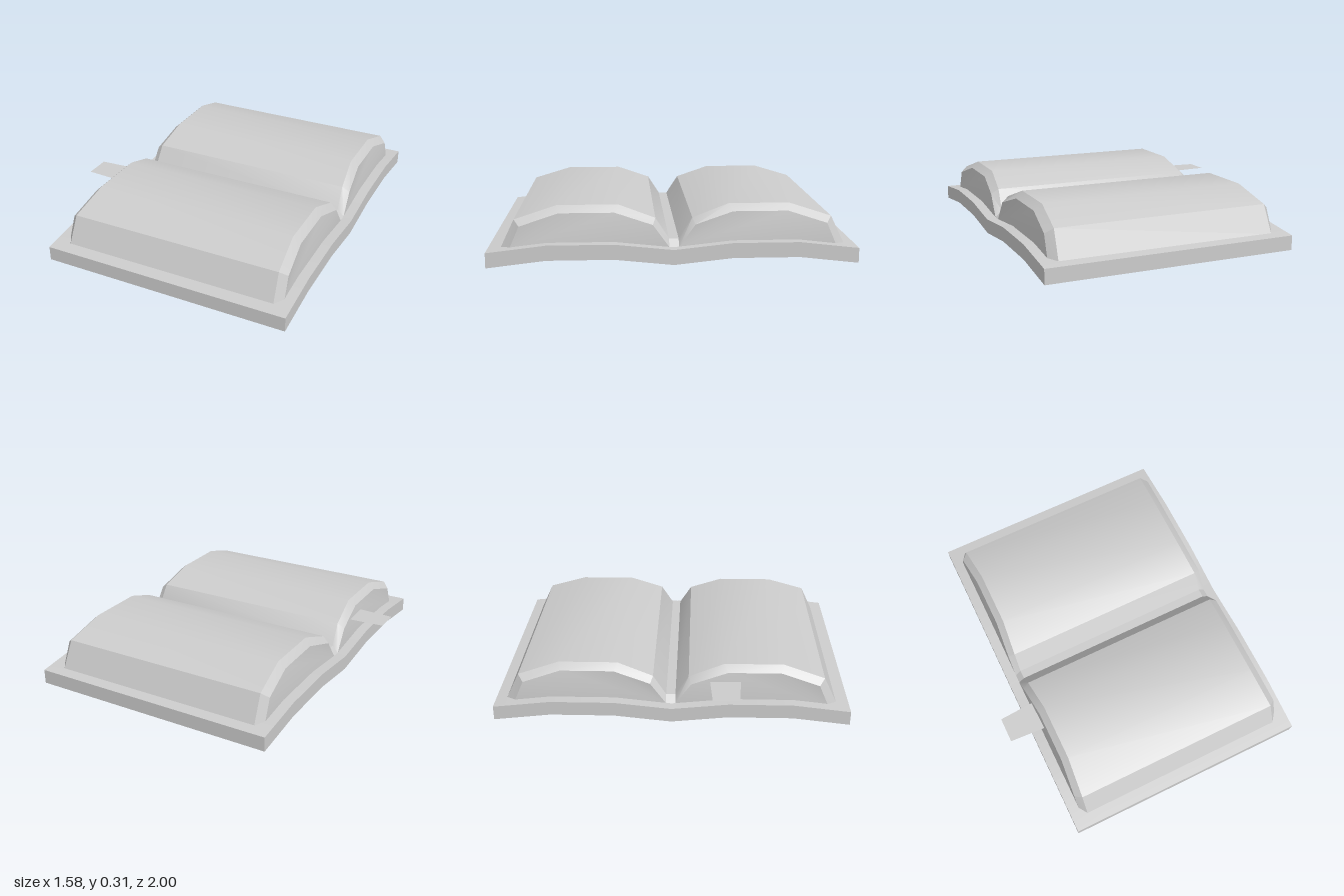
import * as THREE from 'three';
import { toCreasedNormals } from 'three/addons/utils/BufferGeometryUtils.js';

const material = new THREE.MeshStandardMaterial({ color: 0xcccccc });
const CREASE = 0.55;

function addPart(group, name, geometry, mat = material) {
  const mesh = new THREE.Mesh(geometry, mat);
  mesh.name = name;
  group.add(mesh);
}

// Cover: a gently waved board extruded along x
function coverGeometry() {
  const half = [[1, 0], [0.68, 0.037], [0.32, 0.037], [0, 0.003]];
  const wave = [...half, ...half.slice(0, 3).reverse().map(([z, y]) => [-z, y])];
  const thickness = 0.083;
  const outline = [...wave, ...wave.slice().reverse().map(([z, y]) => [z, y + thickness])];
  const shape = new THREE.Shape(outline.map(([z, y]) => new THREE.Vector2(-z, y)));
  const geometry = new THREE.ExtrudeGeometry(shape, { depth: 1.44, bevelEnabled: false });
  geometry.rotateY(Math.PI / 2).translate(-0.655, 0, 0);
  return toCreasedNormals(geometry, CREASE);
}

// Pages: two humps lofted along x, with bevelled ends that lean inward.
// Each profile point is [z, y, inward lean of the end at that height].
function pagesGeometry() {
  const full = [[0.935, 0.085, 0], [0.86, 0.24, 0.005], [0.63, 0.312, 0.025],
    [0.3, 0.312, 0.025], [0.1, 0.24, 0.005], [0.026, 0.125, 0]];
  const inset = [[0.885, 0.085, 0], [0.83, 0.21, 0.003], [0.62, 0.276, 0.022],
    [0.32, 0.276, 0.022], [0.115, 0.21, 0.003], [0.026, 0.087, 0]];
  const bothHumps = (half) => [...half, ...half.slice().reverse().map(([z, y, l]) => [-z, y, l])];
  const sections = [
    { x: -0.596, lean: 1, profile: bothHumps(inset) },
    { x: -0.56, lean: 1, profile: bothHumps(full) },
    { x: 0.688, lean: -1, profile: bothHumps(full) },
    { x: 0.728, lean: -1, profile: bothHumps(inset) },
  ];
  const n = sections[0].profile.length;
  const positions = [];
  const index = [];
  for (const { x, lean, profile } of sections)
    for (const [z, y, l] of profile) positions.push(x + lean * l, y, z - 0.004);

  // skin between neighbouring sections
  for (let s = 0; s < sections.length - 1; s++)
    for (let j = 0; j < n - 1; j++) {
      const a = s * n + j, c = a + n;
      index.push(a, c, a + 1, c, c + 1, a + 1);
    }
  // end caps, one fan per hump
  for (const hump of [0, n / 2])
    for (let k = 1; k < n / 2 - 1; k++) {
      const left = hump, right = 3 * n + hump;
      index.push(left, left + k, left + k + 1, right, right + k + 1, right + k);
    }
  const geometry = new THREE.BufferGeometry();
  geometry.setAttribute('position', new THREE.Float32BufferAttribute(positions, 3));
  geometry.setIndex(index);
  return toCreasedNormals(geometry, CREASE);
}

// Bookmark: a thin flat strip poking out of the front pages
function bookmarkGeometry() {
  const outline = [[-0.79, 0.375], [-0.54, 0.39], [-0.54, 0.213], [-0.79, 0.228]];
  const shape = new THREE.Shape(outline.map(([x, z]) => new THREE.Vector2(x, -z)));
  return new THREE.ShapeGeometry(shape).rotateX(-Math.PI / 2).translate(0, 0.225, 0);
}

export function createModel() {
  const book = new THREE.Group();
  book.name = 'openBook';
  addPart(book, 'cover', coverGeometry());
  addPart(book, 'pages', pagesGeometry());
  const thin = material.clone();
  thin.side = THREE.DoubleSide;
  addPart(book, 'bookmark', bookmarkGeometry(), thin);
  return book;
}
